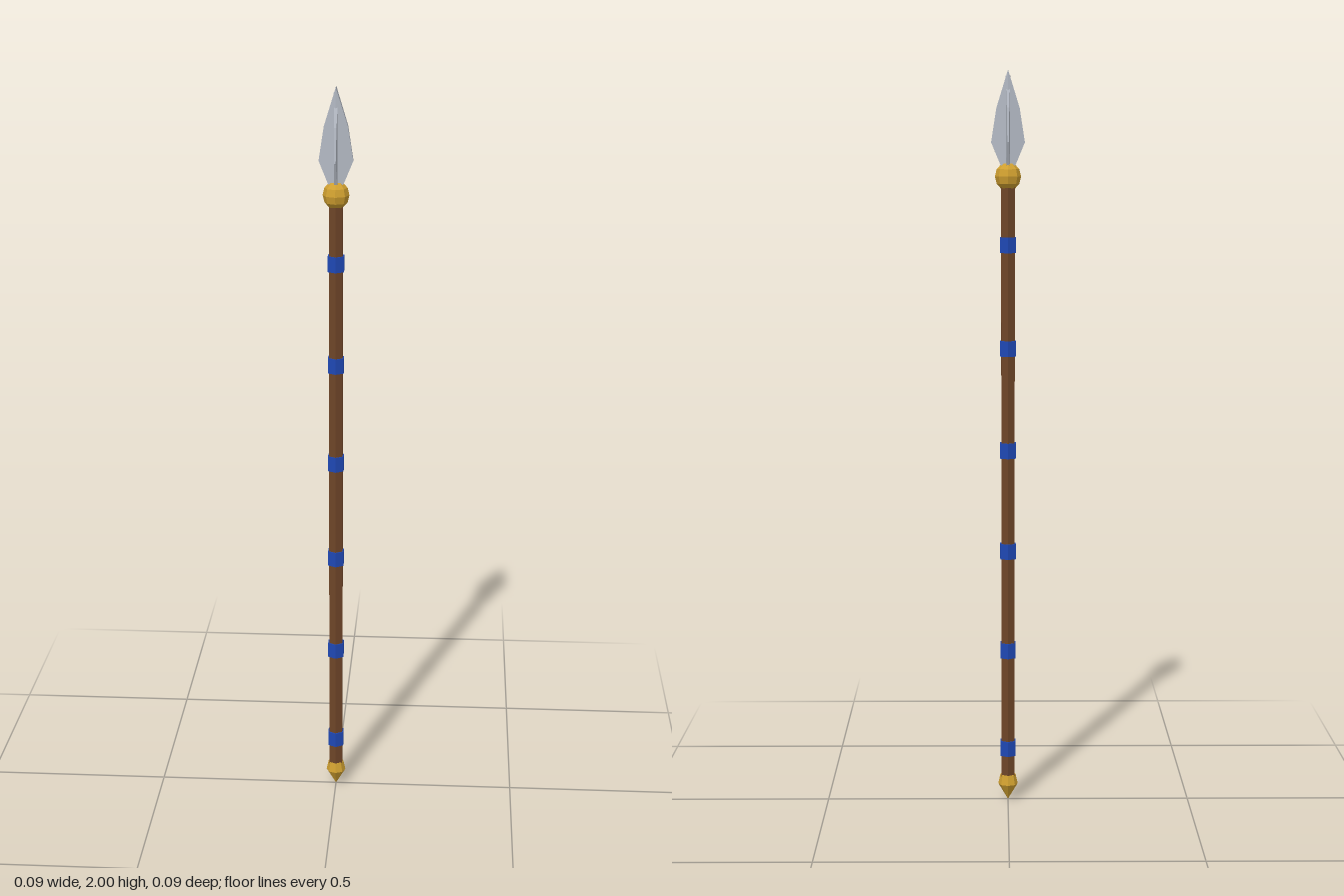
import * as THREE from 'three';

const material = (name, color) => {
  const m = new THREE.MeshStandardMaterial({ color, flatShading: true });
  m.name = name;
  return m;
};

export function createModel() {
  const wood = material('wood', 0x6e4528);
  const blue = material('blue wrap', 0x1f48b4);
  const gold = material('gold', 0xd0a030);
  const steel = material('steel', 0xb4bac4);

  const model = new THREE.Group();
  model.name = 'spear';
  const add = (name, geometry, mat, y = 0) => {
    const mesh = new THREE.Mesh(geometry, mat);
    mesh.name = name;
    mesh.position.y = y;
    model.add(mesh);
    return mesh;
  };

  // Six-sided shaft with evenly spaced wraps
  add('shaft', new THREE.CylinderGeometry(0.021, 0.021, 1.65, 6), wood, 0.885);
  for (let i = 0; i < 6; i++) {
    add('wrap', new THREE.CylinderGeometry(0.0245, 0.0245, 0.042, 6), blue, 0.148 + i * 0.278);
  }

  // Pointed butt cap
  const capProfile = [[0, 0], [0.027, 0.045], [0.021, 0.072], [0, 0.072]];
  add('buttCap', new THREE.LatheGeometry(capProfile.map(p => new THREE.Vector2(...p)), 8), gold);

  // Faceted collar under the head
  add('collar', new THREE.SphereGeometry(0.035, 8, 6), gold, 1.72).scale.y = 1.1;

  // Half blade: leaf outline whose thickness falls from the ridge to the edge
  const fin = (tip, ridge, edge) => {
    const outline = [[0, 1.74], [0.02, 1.75], [0.045, 1.81], [0.031, 1.9], [0, tip]];
    const shape = new THREE.Shape(outline.map(p => new THREE.Vector2(...p)));
    const g = new THREE.ExtrudeGeometry(shape, { depth: 2, bevelEnabled: false });
    const pos = g.attributes.position;
    for (let i = 0; i < pos.count; i++) {
      const t = THREE.MathUtils.lerp(ridge, edge, pos.getX(i) / 0.045);
      pos.setZ(i, (pos.getZ(i) - 1) * t);
    }
    g.computeVertexNormals();
    return g;
  };

  // Broad pair left and right, slim pair front and back
  const broad = fin(2, 0.014, 0.005);
  const slim = fin(1.985, 0.006, 0.002);
  for (let i = 0; i < 4; i++) {
    add(i % 2 ? 'slimBlade' : 'broadBlade', i % 2 ? slim : broad, steel).rotation.y = i * Math.PI / 2;
  }

  return model;
}
